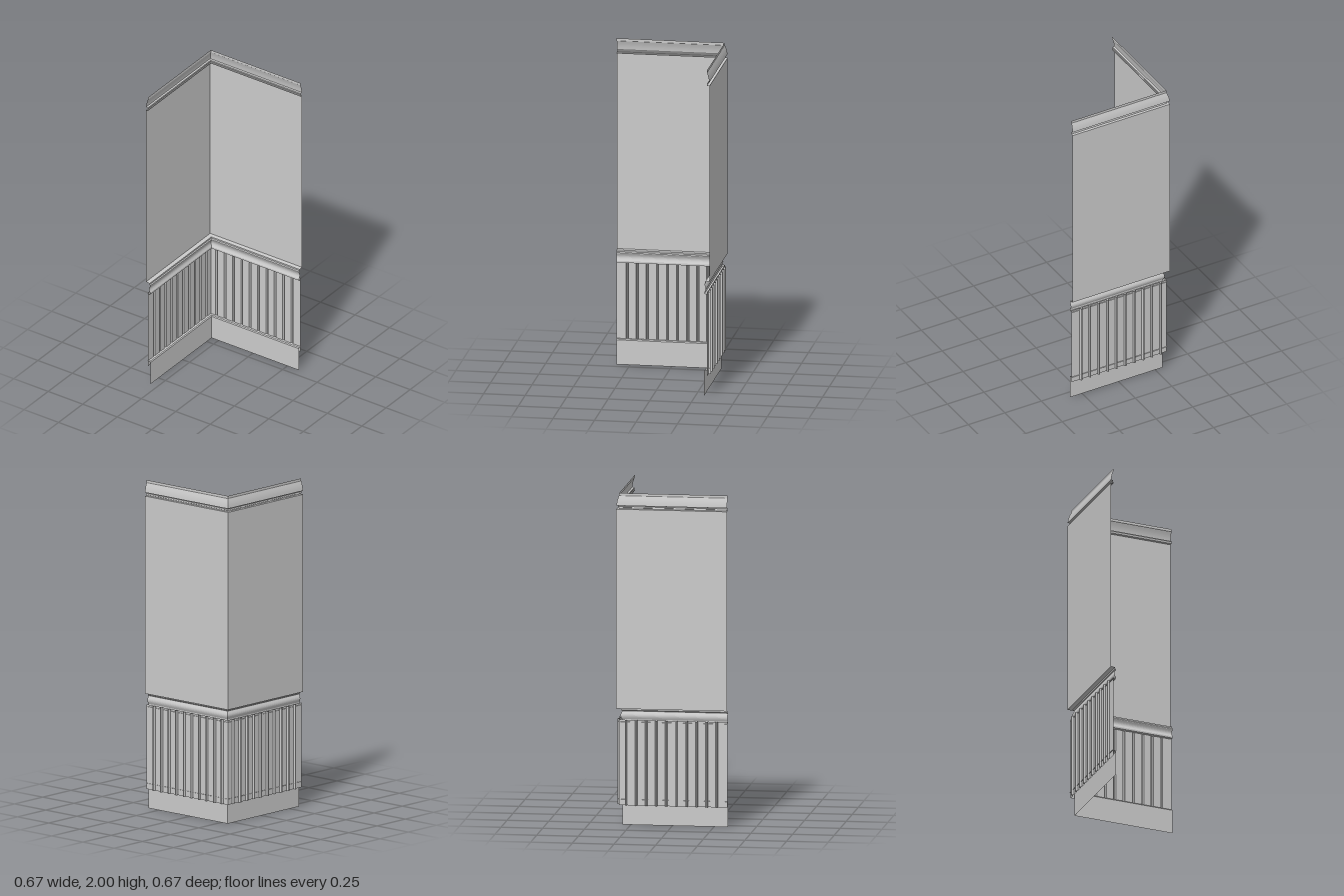
import * as THREE from 'three';

const H = 0.333; // half width of the corner
const material = new THREE.MeshStandardMaterial({ color: 0xcccccc, flatShading: true, side: THREE.DoubleSide });

// Joins rows of [x, y, z] points into an open sheet
function sheet(name, rows) {
  const pos = [];
  for (let i = 0; i < rows.length - 1; i++) {
    for (let j = 0; j < rows[i].length - 1; j++) {
      const a = rows[i][j], b = rows[i][j + 1], c = rows[i + 1][j + 1], d = rows[i + 1][j];
      pos.push(...a, ...d, ...c, ...a, ...c, ...b);
    }
  }
  const geo = new THREE.BufferGeometry();
  geo.setAttribute('position', new THREE.Float32BufferAttribute(pos, 3));
  geo.computeVertexNormals();
  const mesh = new THREE.Mesh(geo, material);
  mesh.name = name;
  return mesh;
}

// Sweeps a profile of [distance from wall, height], listed top down, around the mitred corner
function sweep(name, profile) {
  return sheet(name, profile.map(([d, y]) => [
    [-H + d, y, H], [-H + d, y, -H + d], [H, y, -H + d],
  ]));
}

// Points on an arc bulging from (d0, y0) to (d1, y1) by the given depth
function arc(d0, y0, d1, y1, depth, n = 8) {
  return Array.from({ length: n + 1 }, (_, i) => {
    const t = i / n;
    return [d0 + (d1 - d0) * t + depth * Math.sin(Math.PI * t), y0 + (y1 - y0) * t];
  });
}

// Panelling: flat boards with rounded grooves, folded at the corner
function beadboard() {
  const boards = 11, face = 0.015, half = 0.007, step = 2 * H / boards;
  const run = [[-H + face, face]];
  for (let k = 1; k < boards; k++) {
    const c = -H + k * step - 0.003;
    for (let i = 0; i <= 6; i++) {
      const a = Math.PI * i / 6;
      run.push([c - half * Math.cos(a), face - face * Math.sin(a)]);
    }
  }
  run.push([H, face]);
  const along = run.map(([s, d]) => [s, -H + d]);
  const plan = [...along.slice(1).reverse().map(([s, d]) => [d, s]), ...along];
  return sheet('beadboard', [0.635, 0.12].map((y) => plan.map(([x, z]) => [x, y, z])));
}

export function createModel() {
  const group = new THREE.Group();
  group.name = 'wallCorner';

  // Plain upper wall
  group.add(sweep('wall', [[0, 1.905], [0, 0.703]]));

  // Crown moulding leaning into the room
  group.add(sweep('crownMoulding', [
    [0.016, 2], [0.016, 1.984],
    ...arc(0.014, 1.982, 0.001, 1.927, -0.002),
    [0.012, 1.925], [0.014, 1.92], [0.012, 1.914], [0.016, 1.912], [0.016, 1.906], [0, 1.905],
  ]));

  // Chair rail with a hollow middle
  group.add(sweep('chairRail', [
    [0, 0.703], [0.026, 0.701], [0.026, 0.692], [0.031, 0.686],
    ...arc(0.031, 0.682, 0.031, 0.636, -0.008),
    [0.031, 0.625], [0.01, 0.623],
  ]));

  group.add(beadboard());

  // Skirting with a top lip reaching back to the panelling
  group.add(sweep('baseboard', [[0.01, 0.156], [0.028, 0.156], [0.033, 0.15], [0.033, 0]]));

  return group;
}
